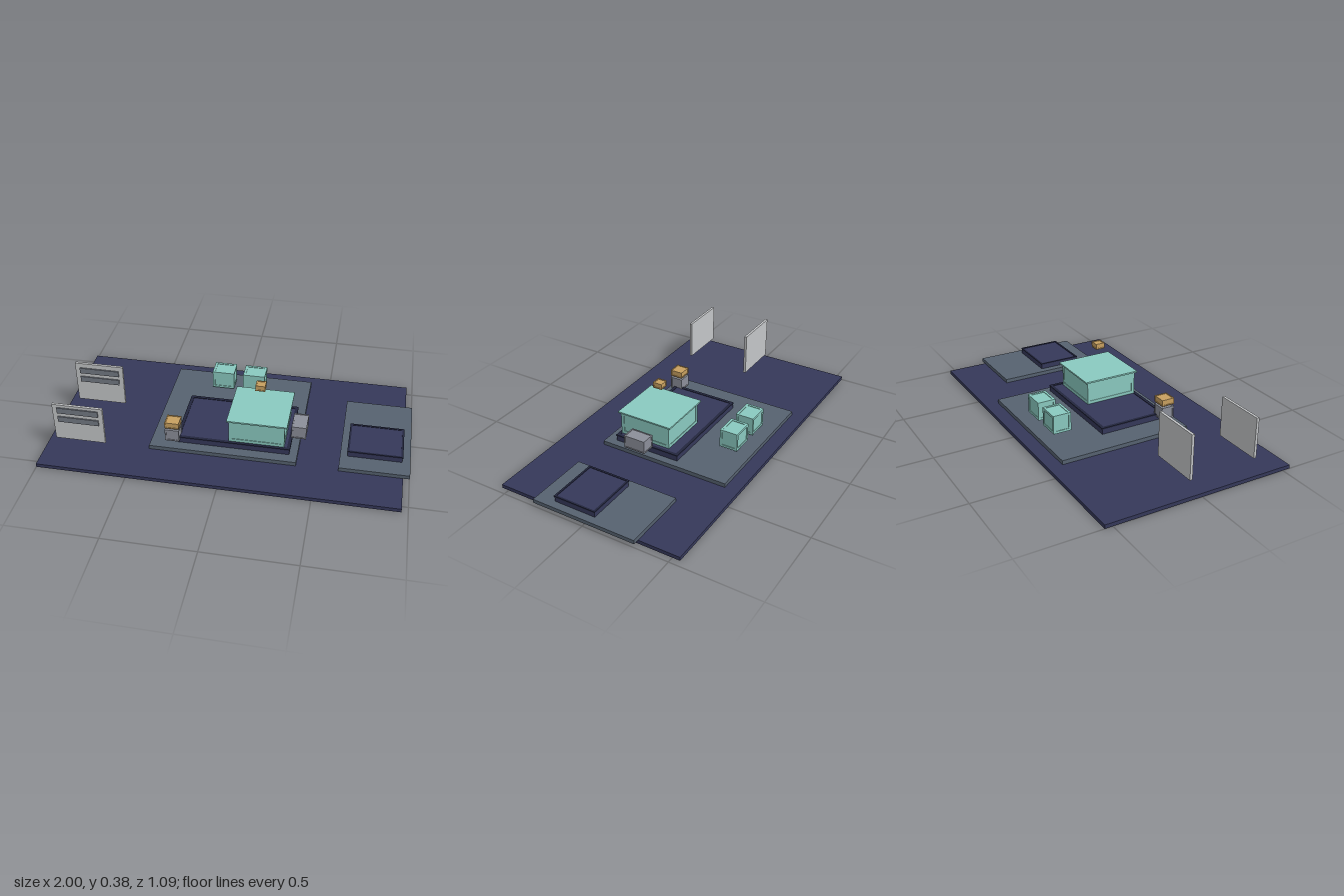
import * as THREE from 'three';

const paint = (name, color) => {
  const m = new THREE.MeshStandardMaterial({ color });
  m.name = name;
  return m;
};

export function createModel() {
  const model = new THREE.Group();
  const navy = paint('navy', 0x35385a);
  const darkNavy = paint('dark navy', 0x23263e);
  const slate = paint('slate', 0x566270);
  const teal = paint('teal', 0x8acac0);
  const grey = paint('grey', 0x8c8f9a);
  const gold = paint('gold', 0xc8a060);
  const pale = paint('pale grey', 0xc4c6c8);
  const steel = paint('steel', 0x747a84);

  // Box given by its extents along each axis
  function box(name, mat, [x0, x1], [y0, y1], [z0, z1], parent = model) {
    const mesh = new THREE.Mesh(new THREE.BoxGeometry(x1 - x0, y1 - y0, z1 - z0), mat);
    mesh.position.set((x0 + x1) / 2, (y0 + y1) / 2, (z0 + z1) / 2);
    mesh.name = name;
    parent.add(mesh);
    return mesh;
  }

  // Box with slightly recessed faces and a bar along each of its twelve edges
  function framedBox(name, mat, x, y, z, w, inset = 0.003) {
    const group = new THREE.Group();
    group.name = name;
    model.add(group);
    const shrink = ([a, b]) => [a + inset, b - inset];
    const ends = ([a, b]) => [[a, a + w], [b - w, b]];
    box('body', mat, shrink(x), shrink(y), shrink(z), group);
    for (let i = 0; i < 2; i++) {
      for (let j = 0; j < 2; j++) {
        box('edgeBar', mat, x, ends(y)[i], ends(z)[j], group);
        box('edgeBar', mat, [x[0] + w, x[1] - w], ends(y)[i], ends(z)[j], group);
        box('edgeBar', mat, ends(x)[i], [y[0] + w, y[1] - w], ends(z)[j], group);
        box('edgeBar', mat, ends(x)[i], ends(y)[j], [z[0] + w, z[1] - w], group);
      }
    }
  }

  // Low platform with a darker raised rim
  function rimmedPad(name, x, y, z, w) {
    const group = new THREE.Group();
    group.name = name;
    model.add(group);
    const rimY = [y[1] - 0.007, y[1]];
    box('padBody', navy, [x[0] + 0.003, x[1] - 0.003], [y[0], y[1] - 0.003], [z[0] + 0.003, z[1] - 0.003], group);
    for (const zz of [[z[0], z[0] + w], [z[1] - w, z[1]]]) box('rim', darkNavy, x, rimY, zz, group);
    for (const xx of [[x[0], x[0] + w], [x[1] - w, x[1]]]) box('rim', darkNavy, xx, rimY, [z[0] + w, z[1] - w], group);
  }

  // Floor and the two slate mats
  box('floor', navy, [-1, 0.965], [0, 0.021], [-0.543, 0.543]);
  box('mainMat', slate, [-0.428, 0.39], [0.021, 0.044], [-0.463, 0.305]);
  box('sideMat', slate, [0.62, 1], [0.022, 0.044], [-0.308, 0.305]);

  // Pads on the mats
  rimmedPad('mainPad', [-0.286, 0.349], [0.044, 0.081], [-0.149, 0.248], 0.018);
  rimmedPad('sidePad', [0.657, 0.958], [0.044, 0.079], [-0.05, 0.202], 0.011);

  // Large counter with overhanging top
  framedBox('counter', teal, [0.008, 0.315], [0.081, 0.215], [-0.075, 0.232], 0.018);
  box('counterTop', teal, [-0.004, 0.328], [0.215, 0.224], [-0.09, 0.242]);

  // Two stools at the back
  for (const x of [-0.187, -0.003]) {
    framedBox('stool', teal, [x, x + 0.129], [0.063, 0.17], [-0.39, -0.284], 0.014);
  }

  // Small grey crates and gold blocks
  framedBox('sideCrate', grey, [0.342, 0.424], [0.08, 0.156], [0.012, 0.141], 0.007);
  framedBox('cornerCrate', grey, [-0.343, -0.264], [0.067, 0.14], [0.196, 0.272], 0.008);
  framedBox('cornerBlock', gold, [-0.343, -0.264], [0.151, 0.188], [0.196, 0.272], 0.006);
  framedBox('floatingBlock', gold, [0.131, 0.185], [0.346, 0.379], [0.05, 0.104], 0.006);

  // Upright boards, each with two raised slats on the front
  for (const [z, y] of [[0.364, [0.08, 0.307]], [-0.025, [0.068, 0.318]]]) {
    box('board', pale, [-0.937, -0.655], y, [z - 0.008, z + 0.007]);
    for (const s of [[0.255, 0.29], [0.198, 0.232]]) {
      box('slat', steel, [-0.91, -0.68], s, [z + 0.007, z + 0.014]);
    }
  }
  return model;
}
